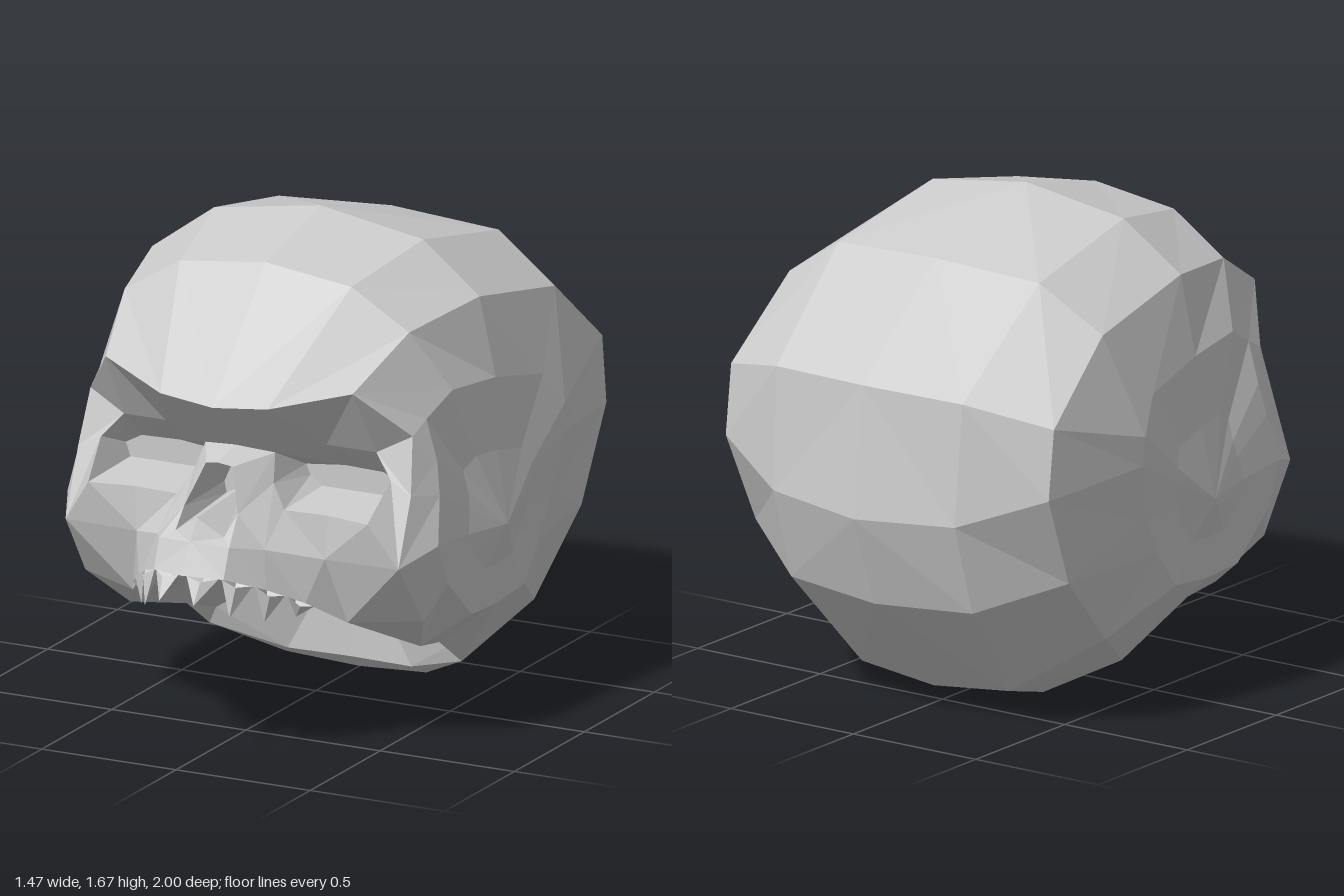
import * as THREE from 'three';

const material = new THREE.MeshStandardMaterial({ color: 0xcccccc, flatShading: true, side: THREE.DoubleSide });

// Flat facets from polygons on the +x half, mirrored to the other half
function facets(name, polygons) {
  const pos = [];
  for (const poly of polygons) {
    for (let i = 1; i < poly.length - 1; i++) {
      const tri = [poly[0], poly[i], poly[i + 1]];
      for (const p of tri) pos.push(...p);
      for (const p of tri.reverse()) pos.push(-p[0], p[1], p[2]);
    }
  }
  const g = new THREE.BufferGeometry();
  g.setAttribute('position', new THREE.Float32BufferAttribute(pos, 3));
  g.computeVertexNormals();
  const mesh = new THREE.Mesh(g, material);
  mesh.name = name;
  return mesh;
}

// Strip of quads between two matching rows of points
function strip(a, b, closed = false) {
  const out = [];
  const n = a.length;
  for (let i = 0; i < (closed ? n : n - 1); i++) {
    const k = (i + 1) % n;
    out.push([a[i], b[i], b[k], a[k]]);
  }
  return out;
}

// Triangles from a row of points to one point
function fan(row, centre, closed = false) {
  return strip(row, row, closed).map(([a, , b]) => [a, centre, b]);
}

// Recessed hole: walls from the rim back to a smaller ring, then a cap
function cavity(rim, [cx, cy, cz], shrinkX, shrinkY, closed) {
  const inner = rim.map(([x, y]) => [x + (cx - x) * shrinkX, y + (cy - y) * shrinkY, cz]);
  return [...strip(rim, inner, closed), ...fan(inner, [cx, cy, cz], closed)];
}

export function createModel() {
  const skull = new THREE.Group();
  skull.name = 'skull';

  // Cranium lines from brow over the top and back to the base
  const mid = [
    [0, 1.18, 0.74], [0, 1.58, 0.36], [0, 1.67, -0.03], [0, 1.53, -0.54], [0, 1.19, -0.95],
    [0, 0.74, -1], [0, 0.42, -0.88], [0, 0.06, -0.55], [0, 0, -0.31]];
  const inset = [
    [0.2, 1.2, 0.73], [0.32, 1.54, 0.36], [0.39, 1.61, -0.02], [0.41, 1.51, -0.52], [0.38, 1.18, -0.91],
    [0.37, 0.76, -0.94], [0.37, 0.44, -0.84], [0.3, 0.09, -0.54], [0.26, 0.02, -0.29]];
  const edge = [
    [0.46, 1.26, 0.62], [0.53, 1.41, 0.35], [0.61, 1.45, 0], [0.64, 1.36, -0.48], [0.66, 1.11, -0.78],
    [0.66, 0.87, -0.81], [0.64, 0.55, -0.67], [0.6, 0.29, -0.41], [0.47, 0.13, -0.14]];

  // Side outline continues along the jaw edge and up the cheekbone
  const jaw = [0.47, 0.24, 0.02], jawFront = [0.54, 0.31, 0.29], cheekLow = [0.63, 0.45, 0.44];
  const cheek = [0.62, 0.67, 0.6], temple = [0.62, 0.9, 0.51], templeTop = [0.6, 1.09, 0.46];
  const outline = [...edge, jaw, jawFront, cheekLow, cheek, temple, templeTop];
  const sideRing = [
    [0.61, 1.13, 0.38], [0.64, 1.2, 0.25], [0.67, 1.18, 0], [0.7, 1.12, -0.28], [0.735, 1, -0.37],
    [0.73, 0.9, -0.38], [0.71, 0.7, -0.33], [0.7, 0.56, -0.25], [0.7, 0.43, -0.15], [0.69, 0.41, 0.04],
    [0.69, 0.42, 0.21], [0.69, 0.57, 0.38], [0.69, 0.72, 0.45], [0.67, 0.88, 0.4], [0.65, 0.99, 0.38]];
  const sideCentre = [0.73, 0.69, 0.03];
  const innerRing = sideRing.map(([x, y, z]) => [
    0.7 + (x - 0.7) * 0.5, (y + sideCentre[1]) / 2, (z + sideCentre[2]) / 2]);
  skull.add(facets('cranium', [
    ...strip(mid, inset),
    ...strip(inset, edge),
    ...strip(outline, sideRing, true),
    ...strip(sideRing, innerRing, true),
    ...fan(innerRing, sideCentre, true)]));

  // Eye socket rim, nose opening and muzzle rows
  const eye = [
    [0.13, 0.99, 0.54], [0.3, 1.03, 0.5], [0.47, 1.02, 0.47], [0.54, 0.94, 0.5],
    [0.52, 0.82, 0.63], [0.36, 0.82, 0.6], [0.2, 0.82, 0.61], [0.15, 0.9, 0.59]];
  const nose = [[0, 0.98, 0.7], [0.05, 0.97, 0.69], [0.1, 0.83, 0.75], [0.09, 0.77, 0.83], [0, 0.83, 0.85]];
  const muzzle = [[0, 0.76, 0.9], [0.13, 0.75, 0.87], [0.2, 0.72, 0.75], [0.35, 0.67, 0.61]];
  const gum = [[0, 0.66, 0.96], [0.13, 0.65, 0.91], [0.23, 0.6, 0.8], [0.31, 0.53, 0.67], [0.4, 0.44, 0.54]];
  const root = [0, 1.01, 0.58];

  skull.add(facets('brow', [
    [mid[0], root, eye[0], inset[0]],
    [inset[0], eye[0], eye[1], edge[0]],
    [edge[0], eye[1], eye[2], templeTop]]));

  skull.add(facets('cheekbones', [
    [eye[2], eye[3], temple, templeTop],
    [eye[3], eye[4], cheek, temple],
    [eye[6], muzzle[2], muzzle[3], eye[5]],
    [eye[5], muzzle[3], eye[4]],
    [eye[4], muzzle[3], cheek],
    [cheek, muzzle[3], gum[4], cheekLow],
    [jawFront, cheekLow, gum[4]]]));

  skull.add(facets('noseBone', [
    [root, nose[1], eye[0]],
    [root, nose[0], nose[1]],
    [eye[0], nose[1], nose[2], eye[7]],
    [eye[7], nose[2], muzzle[2], eye[6]],
    [nose[2], nose[3], muzzle[1], muzzle[2]],
    [nose[3], nose[4], muzzle[0], muzzle[1]]]));

  skull.add(facets('upperJaw', [
    ...strip(muzzle, gum.slice(0, 4)),
    [muzzle[3], gum[3], gum[4]]]));

  skull.add(facets('eyeSockets', cavity(eye, [0.34, 0.86, 0.38], 0.15, 0.6, true)));
  skull.add(facets('nasalCavity', cavity(nose, [0, 0.89, 0.5], 0.2, 0.35, false)));

  // Lip around the base, then a steep hollow rising to a single point
  const apex = [0, 0.47, -0.24];
  const lip = [[0, 0.05, -0.25], [0.23, 0.05, -0.24], [0.44, 0.19, -0.13]];
  skull.add(facets('skullBase', [
    ...strip(lip, [mid[8], inset[8], edge[8]]),
    [lip[2], edge[8], jaw],
    [lip[0], lip[1], apex], [lip[1], lip[2], apex], [lip[2], jaw, apex],
    [apex, jaw, jawFront], [apex, jawFront, gum[4]]]));

  // Palate set up inside the gum line
  const palate = gum.map(([x, y, z]) => [x * 0.8, y + 0.06, z - 0.09]);
  skull.add(facets('palate', [
    ...strip(gum, palate),
    ...fan(palate, apex),
    [apex, gum[4], palate[4]]]));

  // Pointed teeth growing from the gum line: start and end along it, tip height
  const gumLine = new THREE.CatmullRomCurve3(gum.map(p => new THREE.Vector3(...p)));
  const teeth = [[0.03, 0.22, 0.575], [0.24, 0.42, 0.525], [0.44, 0.62, 0.49], [0.64, 0.8, 0.485]];
  skull.add(facets('teeth', teeth.flatMap(([from, to, tipY]) => {
    const a = gumLine.getPoint(from).toArray();
    const b = gumLine.getPoint(to).toArray();
    const [mx, my, mz] = gumLine.getPoint((from + to) / 2).toArray();
    const front = [mx * 1.04, my - 0.01, mz + 0.025];
    const back = [mx * 0.85, my + 0.01, mz - 0.05];
    const tip = [mx * 0.95, tipY, mz + 0.063 - 0.09 * from];
    return [[a, tip, front], [front, tip, b], [b, tip, back], [back, tip, a]];
  })));
  return skull;
}
